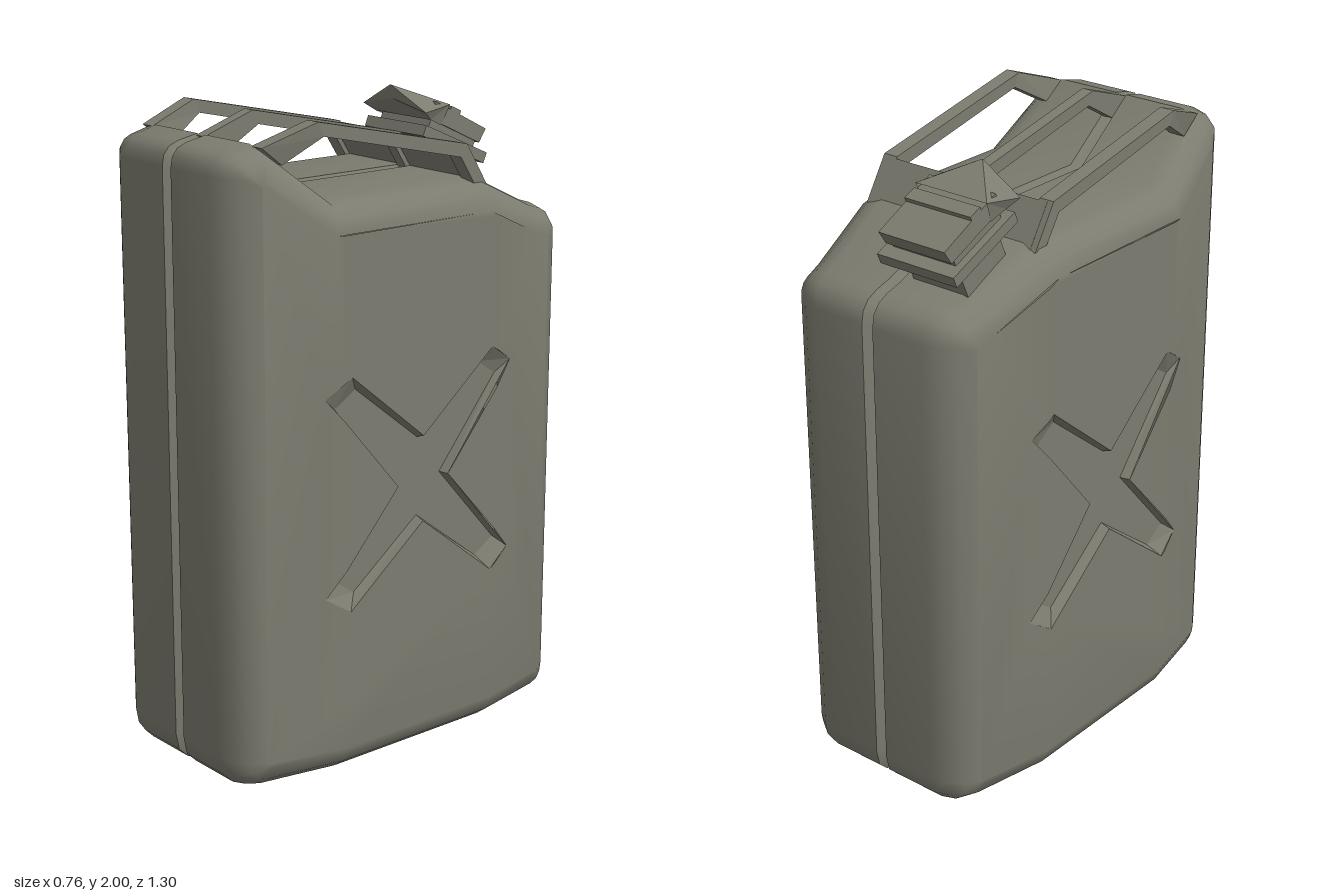
import * as THREE from 'three';
import { toCreasedNormals } from 'three/addons/utils/BufferGeometryUtils.js';

const paint = new THREE.MeshStandardMaterial({ color: 0x7d7c70, side: THREE.DoubleSide });
paint.name = 'olive grey paint';

// Half width of the can at depth z: flat middle, tapered ends
const halfWidth = z => 0.38 - 0.2 * Math.max(0, Math.abs(z) - 0.3);

// Collects triangles; corners run counter-clockwise seen from outside
class Soup {
  constructor(mirrored) { this.pos = []; this.mirrored = mirrored; }
  tri(a, b, c) {
    this.pos.push(...a, ...b, ...c);
    if (this.mirrored) for (const p of [a, c, b]) this.pos.push(-p[0], p[1], p[2]);
  }
  quad(a, b, c, d) { this.tri(a, b, c); this.tri(a, c, d); }
  mesh(name, crease) {
    const g = new THREE.BufferGeometry();
    g.setAttribute('position', new THREE.Float32BufferAttribute(this.pos, 3));
    g.computeVertexNormals();
    const m = new THREE.Mesh(crease ? toCreasedNormals(g, crease) : g, paint);
    m.name = name;
    return m;
  }
}

// Side outline as [-z, y, corner radius], counter-clockwise from the lower front
const outline = [
  [-0.65, 0.005, 0.1], [-0.3, 0.005, 0], [0.3, 0.005, 0], [0.65, 0.005, 0.1],
  [0.65, 1.625, 0.09], [0.53, 1.66, 0], [0.28, 1.77, 0], [-0.3, 1.77, 0],
  [-0.525, 1.945, 0], [-0.65, 1.92, 0.07],
];

// Outline moved inward by d, with rounded corners
function insetOutline(d) {
  const n = outline.length;
  const v = outline.map(p => new THREE.Vector2(p[0], p[1]));
  const pts = v.map((p, i) => {
    const e0 = p.clone().sub(v[(i + n - 1) % n]).normalize();
    const e1 = v[(i + 1) % n].clone().sub(p).normalize();
    const n0 = new THREE.Vector2(-e0.y, e0.x), n1 = new THREE.Vector2(-e1.y, e1.x);
    const k = d / (1 + n0.dot(n1));
    const turn = Math.acos(Math.min(1, e0.dot(e1)));
    return { p: p.clone().addScaledVector(n0.add(n1), k), e0, e1, turn };
  });
  const out = [];
  pts.forEach(({ p, e0, e1, turn }, i) => {
    const r = outline[i][2];
    if (!r) { out.push(p); return; }
    const t = Math.max(r - d, 0.008) * Math.tan(turn / 2);
    const curve = new THREE.QuadraticBezierCurve(
      p.clone().addScaledVector(e0, -t), p, p.clone().addScaledVector(e1, t));
    out.push(...curve.getPoints(3));
  });
  return out;
}

// Pressed cross on each side: tips and inner corners as [-z, y]
const cross = [
  [0, 0.76], [0.285, 0.535], [0.37, 0.59], [0.1, 0.89], [0.365, 1.205], [0.28, 1.26],
  [0, 1.03], [-0.28, 1.26], [-0.37, 1.205], [-0.1, 0.89], [-0.37, 0.59], [-0.285, 0.535],
].map(p => new THREE.Vector2(...p));

// Keeps the part of a convex polygon where s * (x - c) >= 0
function clip(poly, c, s) {
  const out = [];
  poly.forEach((a, i) => {
    const b = poly[(i + 1) % poly.length], da = s * (a.x - c), db = s * (b.x - c);
    if (da >= 0) out.push(a);
    if (da * db < 0) out.push(a.clone().lerp(b, da / (da - db)));
  });
  return out;
}

function body() {
  const s = new Soup(true);
  // Rings from the seam groove out to the flat side: [inset, x or distance from side]
  const rings = [[0.04, 0], [0, 0.02], [0, -0.11], [0.012, -0.06], [0.042, -0.02], [0.09, 0]]
    .map(([d, x], i) => insetOutline(d).map(p => [i < 2 ? x : halfWidth(p.x) + x, p.y, -p.x]));
  for (let i = 0; i < rings.length - 1; i++) {
    const a = rings[i], b = rings[i + 1], n = a.length;
    for (let j = 0; j < n; j++) {
      const k = (j + 1) % n;
      s.quad(a[j], a[k], b[k], b[j]);
    }
  }
  // Side panel around the cross, folded where the taper starts
  const rim = insetOutline(0.09), all = [...rim, ...cross];
  for (const f of THREE.ShapeUtils.triangulateShape(rim, [cross])) {
    let t = f.map(i => all[i]);
    if (THREE.ShapeUtils.area(t) < 0) t = t.reverse();
    const parts = [clip(t, -0.3, -1), clip(clip(t, -0.3, 1), 0.3, -1), clip(t, 0.3, 1)];
    for (const q of parts) {
      const w = q.map(p => [halfWidth(p.x), p.y, -p.x]);
      for (let i = 1; i < w.length - 1; i++) s.tri(w[0], w[i], w[i + 1]);
    }
  }
  return s.mesh('canBody', 0.8);
}

function crossRecess() {
  const s = new Soup(true);
  const floor = cross.map((p, i) => {
    const k = i % 3 === 0 ? 0.92 : 0.87;
    return new THREE.Vector2(p.x * k, 0.895 + (p.y - 0.895) * k);
  });
  const top = cross.map(p => [halfWidth(p.x), p.y, -p.x]);
  const low = floor.map(p => [0.348, p.y, -p.x]);
  for (let i = 0; i < 12; i++) {
    const k = (i + 1) % 12;
    s.quad(top[i], top[k], low[k], low[i]);
  }
  for (const f of THREE.ShapeUtils.triangulateShape(floor, [])) {
    const t = THREE.ShapeUtils.area(f.map(i => floor[i])) < 0 ? f.reverse() : f;
    s.tri(...t.map(i => low[i]));
  }
  return s.mesh('pressedCross');
}

// Handle stations: [outer z, outer y, inner z, inner y, sideways shift]
const stations = [
  [0.53, 1.94, 0.46, 1.885, -0.033], [0.355, 2, 0.335, 1.957, 0],
  [-0.215, 1.88, -0.19, 1.842, 0], [-0.297, 1.75, -0.25, 1.75, 0],
];
function strap(name, x0, x1, path, shift) {
  const s = new Soup(false);
  const rings = path.map(([oz, oy, iz, iy, dx]) => {
    const a = x0 + dx * shift, b = x1 + dx * shift;
    return [[a, oy, oz], [b, oy, oz], [b, iy, iz], [a, iy, iz]];
  });
  for (let i = 0; i < rings.length - 1; i++) {
    for (let j = 0; j < 4; j++) {
      const k = (j + 1) % 4;
      s.quad(rings[i][j], rings[i][k], rings[i + 1][k], rings[i + 1][j]);
    }
  }
  const e = rings[rings.length - 1];
  s.quad(rings[0][3], rings[0][2], rings[0][1], rings[0][0]);
  s.quad(...e);
  return s.mesh(name);
}

function box(name, w, h, d, x, y, z) {
  const m = new THREE.Mesh(new THREE.BoxGeometry(w, h, d), paint);
  m.name = name;
  m.position.set(x, y, z);
  return m;
}

// Spout and lid, tilted to sit on the rear slope
function spout() {
  const g = new THREE.Group();
  g.name = 'spout';
  g.position.set(-0.15, 1.71, -0.425);
  g.rotation.x = -0.41;
  g.add(box('neck', 0.2, 0.14, 0.18, 0, 0.05, 0));
  g.add(box('flange', 0.28, 0.035, 0.285, 0, 0.11, -0.005));
  g.add(box('gasket', 0.23, 0.04, 0.21, 0, 0.14, 0));
  // Lid wedge
  const shape = new THREE.Shape([[0.12, 0.155], [-0.12, 0.15], [-0.13, 0.2], [0.11, 0.212]]
    .map(p => new THREE.Vector2(...p)));
  const geo = new THREE.ExtrudeGeometry(shape, { depth: 0.24, bevelEnabled: false });
  geo.translate(0, 0, -0.12).rotateY(-Math.PI / 2);
  const lid = new THREE.Mesh(geo, paint);
  lid.name = 'lid';
  g.add(lid, box('lidStep', 0.24, 0.015, 0.045, 0, 0.212, 0.02));
  // Gabled lever lip at the front of the lid
  const s = new Soup(false);
  const bl = [-0.13, 0.22, 0.06], br = [0.13, 0.22, 0.06], apex = [0, 0.222, 0.21];
  const fl = [-0.15, 0.16, 0.165], fr = [0.15, 0.16, 0.165], under = [0, 0.185, 0.185];
  s.tri(bl, apex, br);
  s.tri(bl, fl, apex);
  s.tri(br, apex, fr);
  s.tri(fl, under, apex);
  s.tri(under, fr, apex);
  s.quad(bl, [-0.12, 0.15, 0.06], [-0.13, 0.15, 0.12], fl);
  s.quad(br, fr, [0.13, 0.15, 0.12], [0.12, 0.15, 0.06]);
  s.quad(fl, [-0.13, 0.15, 0.12], [0, 0.15, 0.12], under);
  s.quad(under, [0, 0.15, 0.12], [0.13, 0.15, 0.12], fr);
  g.add(s.mesh('leverLip'));
  return g;
}

export function createModel() {
  const model = new THREE.Group();
  model.name = 'fuelCan';
  model.add(body(), crossRecess());
  // Three carrying straps joined by a plate at the rear
  model.add(strap('centerHandle', -0.02, 0.02, stations, 0));
  model.add(strap('leftHandle', 0.27, 0.32, stations, 1));
  model.add(strap('rightHandle', -0.32, -0.27, stations, -1));
  const rear = [[-0.219, 1.875, -0.205, 1.845, 0], [-0.295, 1.755, -0.265, 1.755, 0]];
  model.add(strap('rearHandlePlate', -0.3, 0.3, rear, 0));
  model.add(spout());
  return model;
}
